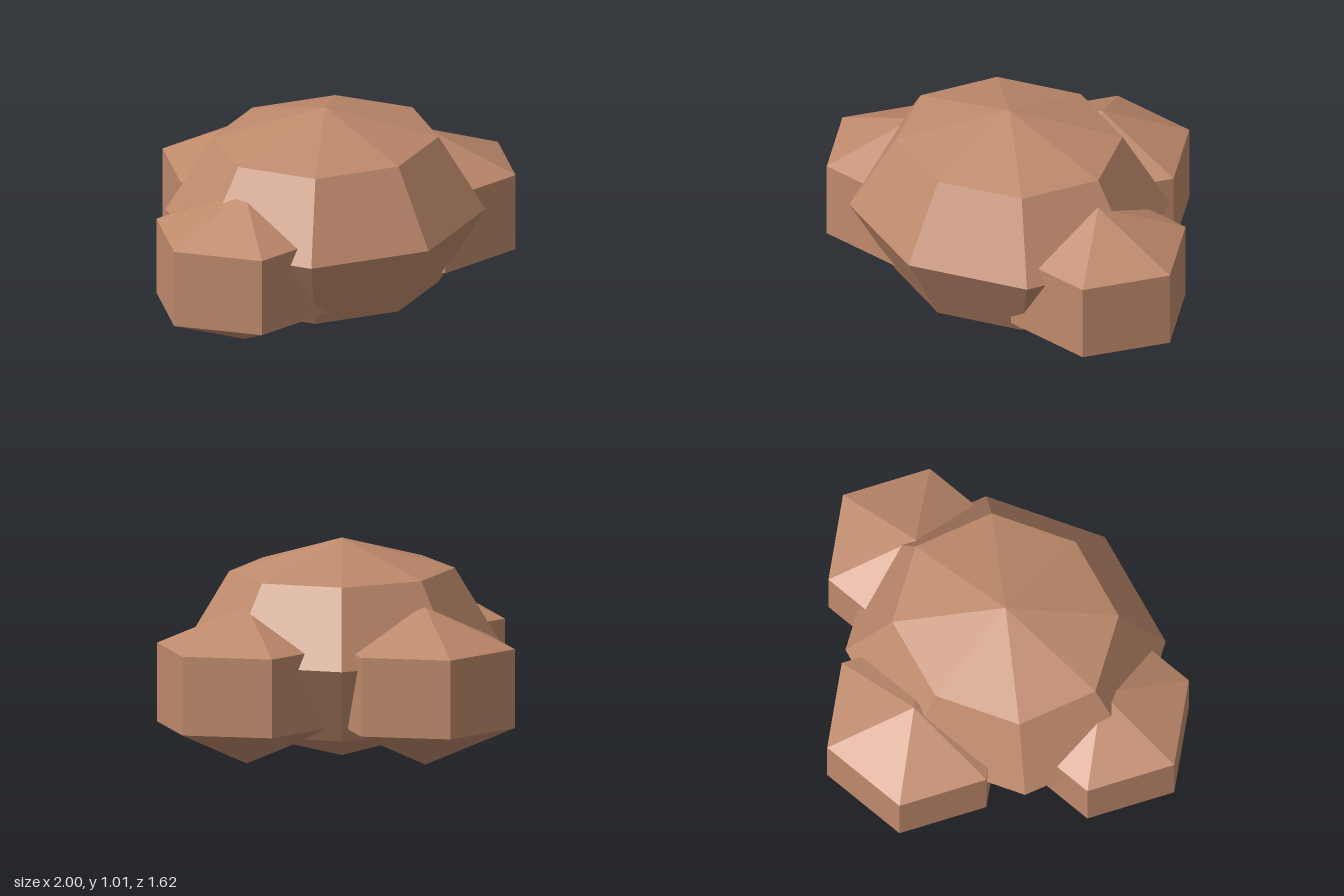
import * as THREE from 'three';

export function createModel() {
  const group = new THREE.Group();
  group.name = 'boulderCluster';
  const clay = new THREE.MeshStandardMaterial({ color: 0xbf8a6c });
  clay.name = 'clayBrown';
  clay.flatShading = true;

  // Faceted ellipsoid: radii and centre are [x, y, z]
  function addLump(name, sides, rings, radii, centre) {
    const geometry = new THREE.SphereGeometry(1, sides, rings);
    geometry.scale(...radii);
    const mesh = new THREE.Mesh(geometry, clay);
    mesh.name = name;
    mesh.position.set(...centre);
    group.add(mesh);
  }

  // Large central lump
  addLump('mainLump', 8, 4, [0.764, 0.503, 0.695], [-0.022, 0.505, 0.113]);

  // Three smaller six-sided lumps around it
  const small = [0.502, 0.364, 0.473];
  addLump('leftLump', 6, 3, small, [0.565, 0.393, 0.165]);
  addLump('rightLump', 6, 3, small, [-0.565, 0.393, 0.156]);
  addLump('backLump', 6, 3, small, [0.038, 0.393, -0.457]);

  return group;
}
